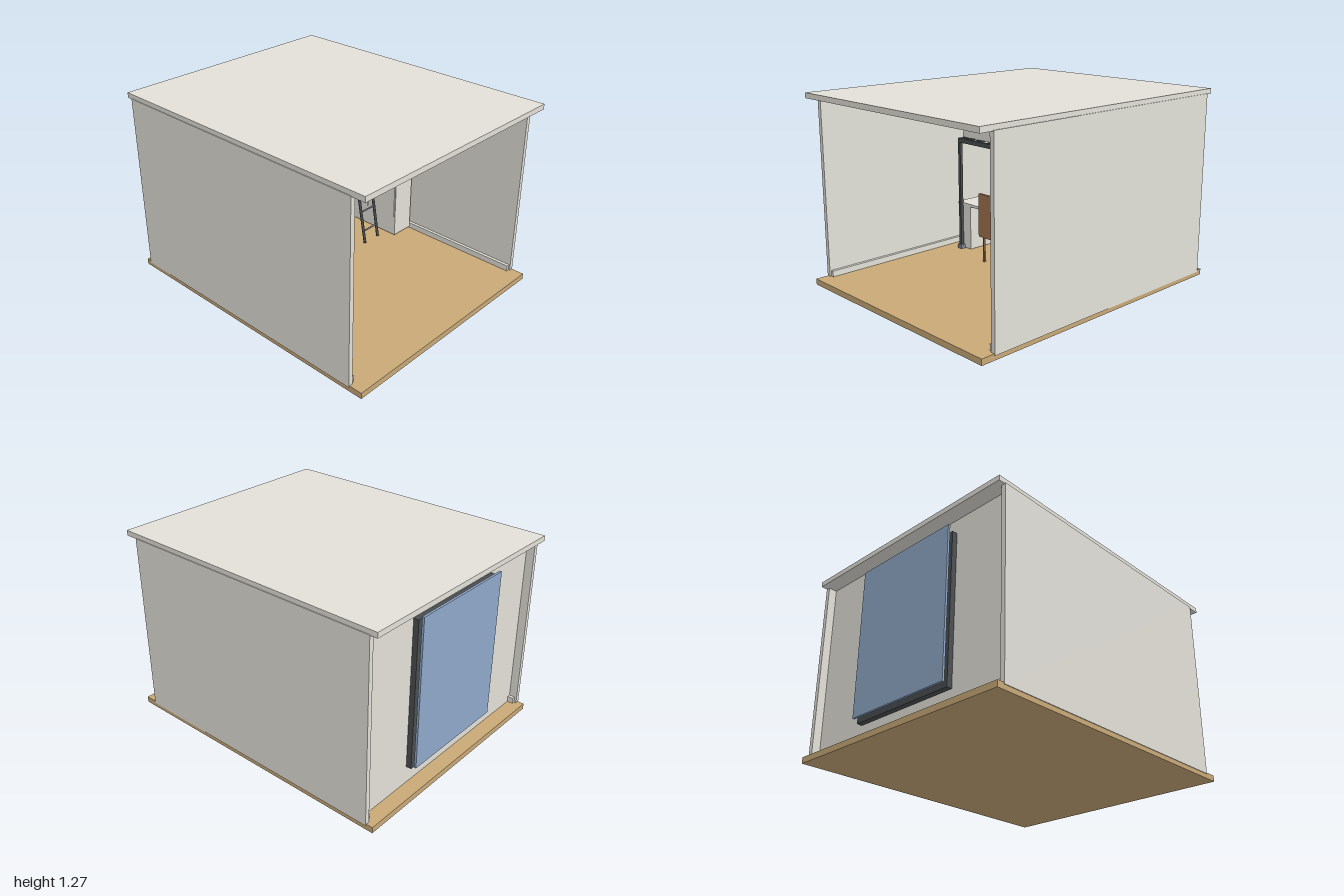
import * as THREE from 'three';

const mat = (name, color) => {
  const m = new THREE.MeshStandardMaterial({ color });
  m.name = name;
  return m;
};

export function createModel() {
  const wall = mat('plaster', 0xe2e0d8);
  const floorWood = mat('floor wood', 0xc8a877);
  const wood = mat('brown wood', 0xa0714f);
  const metal = mat('dark metal', 0x4a4e50);
  const fabric = mat('grey fabric', 0x7e818f);
  const glass = mat('blue glass', 0x8fa8c8);

  const root = new THREE.Group();
  root.name = 'bedroom';
  const group = (name) => {
    const g = new THREE.Group();
    g.name = name;
    root.add(g);
    return g;
  };
  // Box given by its bounds on each axis
  const box = (g, name, m, [x0, x1], [y0, y1], [z0, z1]) => {
    const b = new THREE.Mesh(new THREE.BoxGeometry(x1 - x0, y1 - y0, z1 - z0), m);
    b.position.set((x0 + x1) / 2, (y0 + y1) / 2, (z0 + z1) / 2);
    b.name = name;
    g.add(b);
    return b;
  };
  // Round bar between two points
  const bar = (g, name, m, a, b, r) => {
    const p = new THREE.Vector3(...a), q = new THREE.Vector3(...b);
    const c = new THREE.Mesh(new THREE.CylinderGeometry(r, r, p.distanceTo(q), 12), m);
    c.position.copy(p).add(q).multiplyScalar(0.5);
    c.quaternion.setFromUnitVectors(new THREE.Vector3(0, 1, 0), q.sub(p).normalize());
    c.name = name;
    g.add(c);
  };
  // Range of width w centred on c
  const around = (c, w) => [c - w / 2, c + w / 2];

  // Shell: floor, roof, walls and skirting
  const shell = group('shell');
  box(shell, 'floor', floorWood, [-0.82, 0.82], [0, 0.04], [-1, 1]);
  box(shell, 'roof', wall, [-0.82, 0.82], [1.24, 1.275], [-1, 1]);
  box(shell, 'backWall', wall, [-0.795, 0.795], [0.04, 1.24], [-0.9, -0.87]);
  box(shell, 'backSkirting', wall, [-0.775, 0.775], [0.04, 0.08], [-0.87, -0.85]);
  for (const s of [-1, 1]) {
    box(shell, 'sideWall', wall, around(s * 0.81, 0.03), [0.03, 1.245], [-0.955, 0.91]);
    box(shell, 'sideSkirting', wall, around(s * 0.784, 0.022), [0.04, 0.08], [-0.94, 0.9]);
  }

  // Window with outer pane
  const win = group('window');
  box(win, 'windowFrame', metal, [-0.385, 0.385], [0.157, 1.146], [-0.935, -0.862]);
  box(win, 'windowPane', glass, [-0.385, 0.385], [0.18, 1.175], [-0.97, -0.955]);

  // Curtains: outer drapes, inner sheers and rod
  const curtains = group('curtains');
  for (const s of [-1, 1]) {
    box(curtains, 'drape', fabric, around(s * 0.438, 0.156), [0.165, 1.23], [-0.85, -0.83]);
    box(curtains, 'sheer', wall, around(s * 0.22, 0.128), [0.165, 1.22], [-0.85, -0.838]);
  }
  box(curtains, 'rod', fabric, [-0.535, 0.53], [1.205, 1.221], [-0.83, -0.815]);

  // Loft bed
  const bed = group('loftBed');
  for (const x of [-0.65, 0.303]) {
    for (const z of [-0.56, -0.115]) {
      box(bed, 'post', metal, around(x, 0.022), [0.05, 0.86], around(z, 0.022));
      box(bed, 'foot', fabric, around(x, 0.042), [0.04, 0.07], around(z, 0.042));
    }
    box(bed, 'endBeam', metal, around(x, 0.024), [0.83, 0.86], [-0.571, -0.104]);
  }
  for (const z of [-0.56, -0.115]) {
    box(bed, 'sideBeam', metal, [-0.66, 0.315], [0.83, 0.861], around(z, 0.024));
    box(bed, 'guardRail', metal, [-0.655, 0.31], [1.03, 1.045], around(z, 0.014));
  }
  for (let i = 0; i < 8; i++)
    box(bed, 'slat', metal, around(-0.57 + i * 0.113, 0.03), [0.855, 0.87], [-0.56, -0.115]);
  box(bed, 'mattress', wall, [-0.628, 0.282], [0.87, 0.905], [-0.55, -0.125]);
  box(bed, 'duvet', wall, [-0.623, 0.28], [0.905, 0.986], [-0.55, -0.125]);

  // Leaning ladder
  const ladder = group('ladder');
  const topZ = -0.09, footZ = -0.03;
  for (const x of [0, 0.137])
    bar(ladder, 'stile', metal, [0.284 + x, 0.845, topZ], [0.368 + x, 0.055, footZ], 0.01);
  for (let i = 0; i < 5; i++) {
    const y = 0.15 + i * 0.155, t = (0.845 - y) / 0.79;
    const x = 0.284 + 0.084 * t, z = topZ + (footZ - topZ) * t;
    bar(ladder, 'rung', fabric, [x, y, z], [x + 0.137, y, z], 0.006);
  }

  // Desk with monitor and lamp
  const desk = group('desk');
  box(desk, 'deskTop', wall, [-0.69, -0.165], [0.366, 0.385], [-0.355, -0.125]);
  box(desk, 'deskCabinet', wall, [-0.688, -0.565], [0.045, 0.366], [-0.345, -0.13]);
  box(desk, 'monitorScreen', metal, [-0.49, -0.255], [0.46, 0.6], [-0.335, -0.32]);
  box(desk, 'monitorStand', metal, [-0.384, -0.361], [0.385, 0.47], [-0.345, -0.333]);
  box(desk, 'monitorBase', metal, [-0.42, -0.325], [0.385, 0.391], [-0.35, -0.29]);
  bar(desk, 'lampBase', metal, [-0.19, 0.385, -0.29], [-0.19, 0.392, -0.29], 0.022);
  bar(desk, 'lampArm', metal, [-0.19, 0.39, -0.29], [-0.222, 0.535, -0.29], 0.005);
  box(desk, 'lampHead', wood, [-0.222, -0.167], [0.53, 0.552], [-0.31, -0.265]);

  // Chair
  const chair = group('chair');
  box(chair, 'backrest', wood, [-0.33, -0.146], [0.24, 0.533], [-0.02, 0]);
  box(chair, 'seat', wood, [-0.33, -0.146], [0.226, 0.245], [-0.19, 0]);
  for (const x of [-0.307, -0.17])
    for (const z of [-0.03, -0.165])
      box(chair, 'leg', wood, around(x, 0.014), [0.04, 0.23], around(z, 0.014));

  // Wardrobe with handles and a framed picture above
  const wardrobe = group('wardrobe');
  box(wardrobe, 'wardrobeBody', wall, [0.6, 0.773], [0.05, 0.98], [-0.45, 0.05]);
  for (const z of [-0.325, -0.075])
    box(wardrobe, 'door', wall, [0.593, 0.6], [0.2, 0.9], around(z, 0.235));
  for (const z of [-0.22, -0.18])
    box(wardrobe, 'handle', wood, [0.588, 0.594], [0.45, 0.6], around(z, 0.01));
  box(wardrobe, 'picture', wall, [0.64, 0.768], [0.985, 1.1], [-0.4, -0.39]);
  for (const x of [0.637, 0.77])
    box(wardrobe, 'frameSide', wood, around(x, 0.01), [0.98, 1.11], [-0.405, -0.385]);
  for (const y of [0.985, 1.105])
    box(wardrobe, 'frameEdge', wood, [0.632, 0.775], around(y, 0.01), [-0.405, -0.385]);

  // Vanity corner: round mirror, shelves and hanging light
  const vanity = group('vanity');
  const mirror = new THREE.Mesh(new THREE.CylinderGeometry(0.143, 0.143, 0.015, 48), fabric);
  mirror.rotation.x = Math.PI / 2;
  mirror.position.set(0.552, 0.85, -0.81);
  mirror.name = 'mirror';
  vanity.add(mirror);
  box(vanity, 'upperShelf', wood, [0.46, 0.795], [0.675, 0.696], [-0.84, -0.6]);
  box(vanity, 'lowerShelf', wood, [0.525, 0.795], [0.45, 0.463], [-0.84, -0.65]);
  box(vanity, 'hangingLight', metal, [0.549, 0.558], [1.075, 1.205], [-0.74, -0.73]);

  return root;
}
